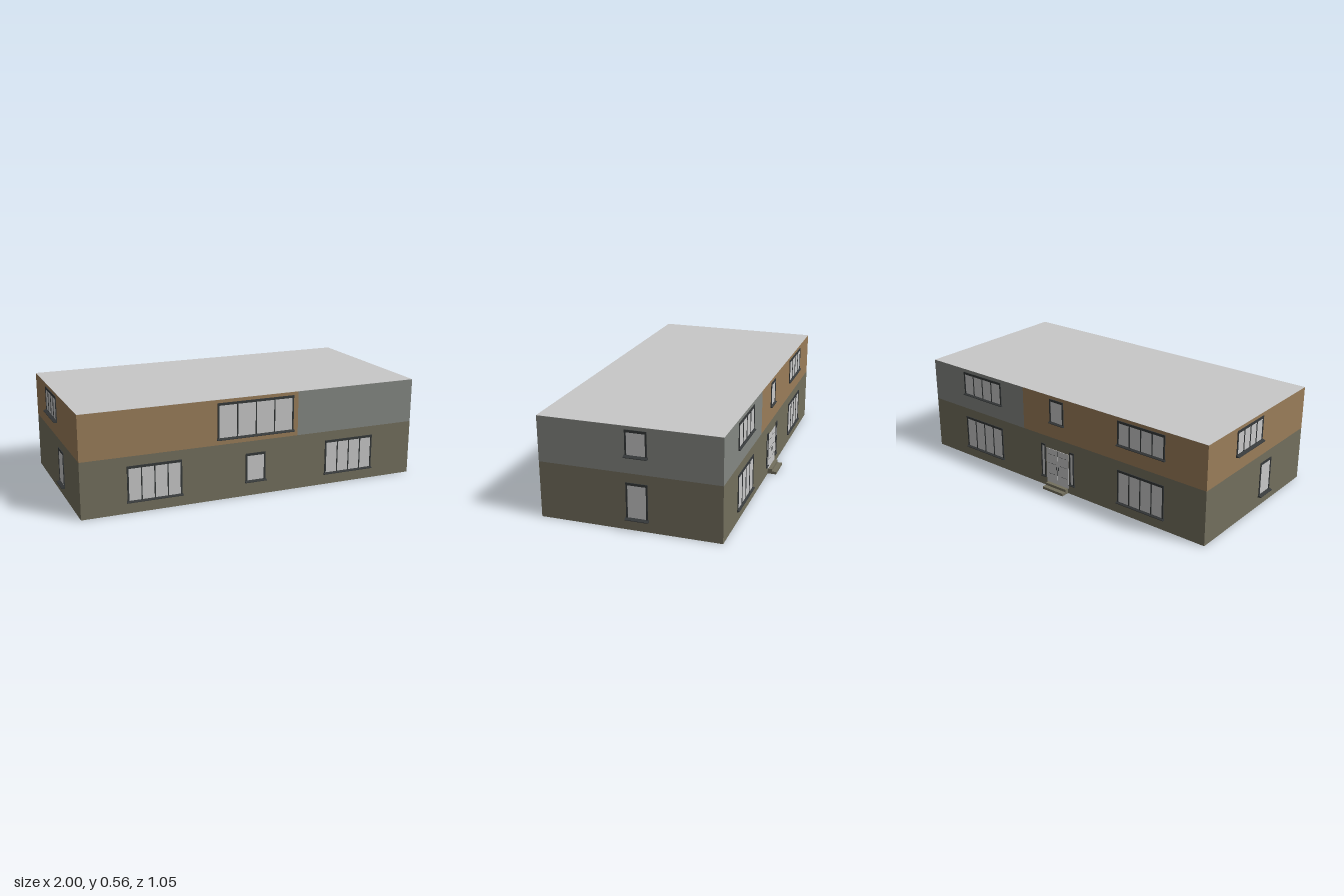
import * as THREE from 'three';

const material = (name, color) => {
  const m = new THREE.MeshStandardMaterial({ color });
  m.name = name;
  return m;
};

export function createModel() {
  const olive = material('olive render', 0x736f5d);
  const brown = material('brown timber', 0x9a7d59);
  const grey = material('grey cladding', 0x848782);
  const pale = material('pale roof and glass', 0xc8c8c8);
  const dark = material('dark frame', 0x36393a);

  const house = new THREE.Group();
  house.name = 'house';
  const X = 0.98, BACK = -0.475, FRONT = 0.508, SPLIT = 0.25, FLOOR = 0.31, TOP = 0.56;

  // Box given by its minimum and maximum corners
  const box = (parent, name, mat, x0, x1, y0, y1, z0, z1) => {
    const mesh = new THREE.Mesh(new THREE.BoxGeometry(x1 - x0, y1 - y0, z1 - z0), mat);
    mesh.position.set((x0 + x1) / 2, (y0 + y1) / 2, (z0 + z1) / 2);
    mesh.name = name;
    parent.add(mesh);
    return mesh;
  };

  // Storeys and flat roof
  box(house, 'groundFloor', olive, -X, X, 0, FLOOR, BACK, FRONT);
  box(house, 'upperFloorTimber', brown, -X, SPLIT, FLOOR, TOP - 0.001, BACK, FRONT);
  box(house, 'upperFloorCladding', grey, SPLIT, X, FLOOR, TOP - 0.001, BACK, FRONT);
  box(house, 'roof', pale, -X, X, TOP - 0.001, TOP, BACK, FRONT);

  // One group per facade, with local +z pointing outwards
  const facade = (name, x, z, turn) => {
    const g = new THREE.Group();
    g.name = name;
    g.position.set(x, 0, z);
    g.rotation.y = turn;
    house.add(g);
    return g;
  };
  const front = facade('frontFacade', 0, FRONT, 0);
  const back = facade('backFacade', 0, BACK, Math.PI);
  const left = facade('leftFacade', X, 0, Math.PI / 2);
  const right = facade('rightFacade', -X, 0, -Math.PI / 2);

  const rectangle = (path, x0, x1, y0, y1) => {
    path.moveTo(x0, y0);
    path.lineTo(x1, y0);
    path.lineTo(x1, y1);
    path.lineTo(x0, y1);
    path.closePath();
    return path;
  };

  // Window: pierced frame, glass behind it, and a tapered sill
  const addWindow = (wall, x0, x1, y0, y1, panes, sillDepth = 0.012, edge = 0.009) => {
    const g = new THREE.Group();
    g.name = 'window';
    wall.add(g);
    const bar = 0.006;
    const shape = rectangle(new THREE.Shape(), x0, x1, y0, y1);
    const paneWidth = (x1 - x0 - 2 * edge - (panes - 1) * bar) / panes;
    for (let i = 0; i < panes; i++) {
      const a = x0 + edge + i * (paneWidth + bar);
      shape.holes.push(rectangle(new THREE.Path(), a, a + paneWidth, y0 + edge, y1 - edge * 1.5));
    }
    const frame = new THREE.Mesh(
      new THREE.ExtrudeGeometry(shape, { depth: 0.004, bevelEnabled: false }), dark);
    frame.name = 'windowFrame';
    g.add(frame);
    box(g, 'glass', pale, x0 + 0.003, x1 - 0.003, y0 + 0.003, y1 - 0.003, 0, 0.0015);
    if (sillDepth > 0) {
      const profile = new THREE.Shape([
        new THREE.Vector2(0, y0), new THREE.Vector2(sillDepth, y0 + 0.003),
        new THREE.Vector2(sillDepth, y0 + 0.006), new THREE.Vector2(0, y0 + 0.014),
      ]);
      const length = x1 - x0 + 0.008;
      const sill = new THREE.Mesh(
        new THREE.ExtrudeGeometry(profile, { depth: length, bevelEnabled: false }), dark);
      sill.rotation.y = -Math.PI / 2; // profile depth to +z, length to -x
      sill.position.x = x1 + 0.004;
      sill.name = 'sill';
      g.add(sill);
    }
  };

  // Front windows
  for (const s of [-0.58, 0.575]) addWindow(front, s - 0.151, s + 0.151, 0.056, 0.258, 4);
  addWindow(front, -0.062, 0.055, 0.075, 0.242, 1, 0.016);
  addWindow(front, -0.227, 0.222, 0.335, 0.541, 4, 0.016);

  // Back windows
  for (const s of [-0.575, 0.575]) {
    addWindow(back, s - 0.151, s + 0.151, 0.056, 0.258, 4);
    addWindow(back, s - 0.151, s + 0.151, 0.395, 0.541, 4);
  }
  addWindow(back, -0.05, 0.05, 0.395, 0.541, 1);

  // Side windows
  addWindow(left, -0.033, 0.084, 0.056, 0.26, 1, 0.02);
  addWindow(left, -0.033, 0.084, 0.395, 0.541, 1, 0.02);
  addWindow(right, 0.055, 0.167, 0.056, 0.26, 1, 0.02);
  addWindow(right, -0.208, 0.05, 0.395, 0.541, 4, 0.02);

  // Double entrance door with sidelights
  for (const s of [-1, 1]) {
    const leaf = new THREE.Group();
    leaf.name = 'doorLeaf';
    back.add(leaf);
    const c = s * 0.041;
    box(leaf, 'doorPanel', pale, c - 0.04, c + 0.04, 0.03, 0.24, 0, 0.003);
    box(leaf, 'doorHandle', dark, s * 0.008 - 0.002, s * 0.008 + 0.002, 0.12, 0.14, 0.003, 0.006);
    for (const y of [0.085, 0.15, 0.205]) {
      box(leaf, 'panelGroove', dark, c - 0.025, c + 0.025, y, y + 0.0015, 0.003, 0.0035);
    }
    const m = s * 0.104;
    addWindow(back, m - 0.016, m + 0.016, 0.05, 0.258, 1, 0.008, 0.007);
  }
  box(back, 'doorGap', dark, -0.001, 0.001, 0.03, 0.24, 0, 0.002);

  // Entrance steps
  box(back, 'upperStep', olive, -0.073, 0.073, 0, 0.03, 0, 0.024);
  box(back, 'lowerStep', olive, -0.073, 0.073, 0, 0.015, 0.024, 0.05);

  return house;
}
